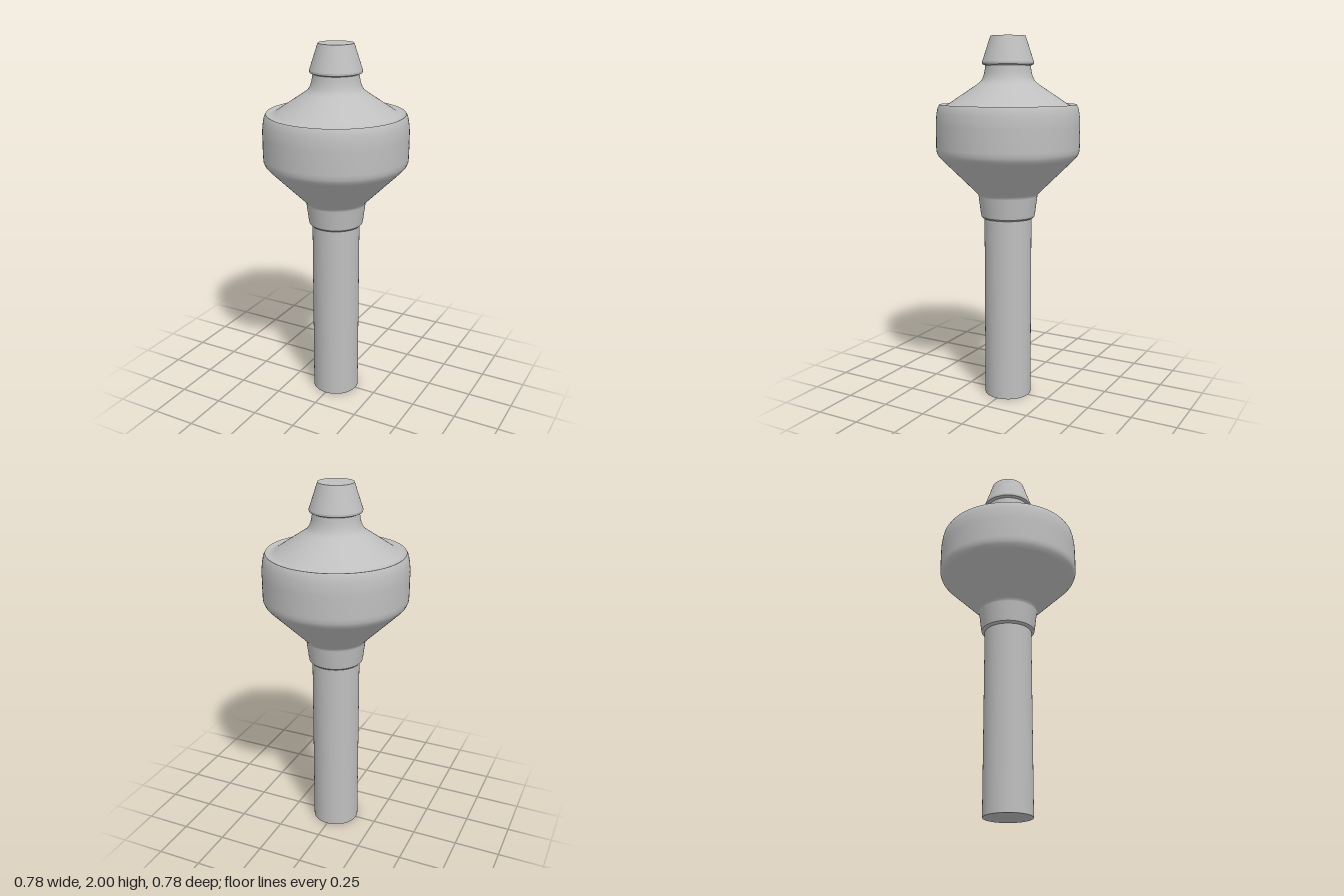
import * as THREE from 'three';

const metal = new THREE.MeshStandardMaterial({ color: 0xbfbfbf });
metal.name = 'plain grey metal';

// Revolves one smooth run of [radius, height] points, listed from bottom to top
function turned(name, profile) {
  const points = profile.map(([r, y]) => new THREE.Vector2(r, y));
  const mesh = new THREE.Mesh(new THREE.LatheGeometry(points, 96), metal);
  mesh.name = name;
  return mesh;
}

export function createModel() {
  const model = new THREE.Group();
  model.name = 'turnedPlug';

  // Straight shaft with a flat foot
  const shaft = new THREE.Mesh(new THREE.CylinderGeometry(0.13, 0.13, 1.03, 96), metal);
  shaft.name = 'shaft';
  shaft.position.y = 0.515;
  model.add(shaft);

  // Collar flaring into the rounded bulb
  model.add(turned('collarUnderside', [[0.128, 1.02], [0.138, 1.02], [0.147, 1.029]]));
  model.add(turned('collarAndBulb', [
    [0.147, 1.029], [0.15, 1.045], [0.162, 1.14], [0.164, 1.149], [0.172, 1.159],
    [0.365, 1.349], [0.38, 1.367], [0.388, 1.386], [0.39, 1.41],
    [0.39, 1.53], [0.389, 1.56], [0.385, 1.595], [0.379, 1.623], [0.37, 1.64],
  ]));

  // Slightly dished shoulder rising to the neck
  model.add(turned('shoulderAndNeck', [
    [0.37, 1.64], [0.355, 1.633], [0.338, 1.634], [0.32, 1.643], [0.27, 1.677], [0.22, 1.71],
    [0.165, 1.747], [0.149, 1.76], [0.138, 1.776], [0.13, 1.797], [0.125, 1.82], [0.122, 1.845],
  ]));

  // Tapered tip with a small lip and flat end
  model.add(turned('tipUnderside', [[0.122, 1.845], [0.138, 1.852]]));
  model.add(turned('tipLip', [[0.138, 1.852], [0.139, 1.863]]));
  model.add(turned('tipTaper', [[0.139, 1.863], [0.094, 2]]));
  model.add(turned('tipEnd', [[0.094, 2], [0, 2]]));

  return model;
}
